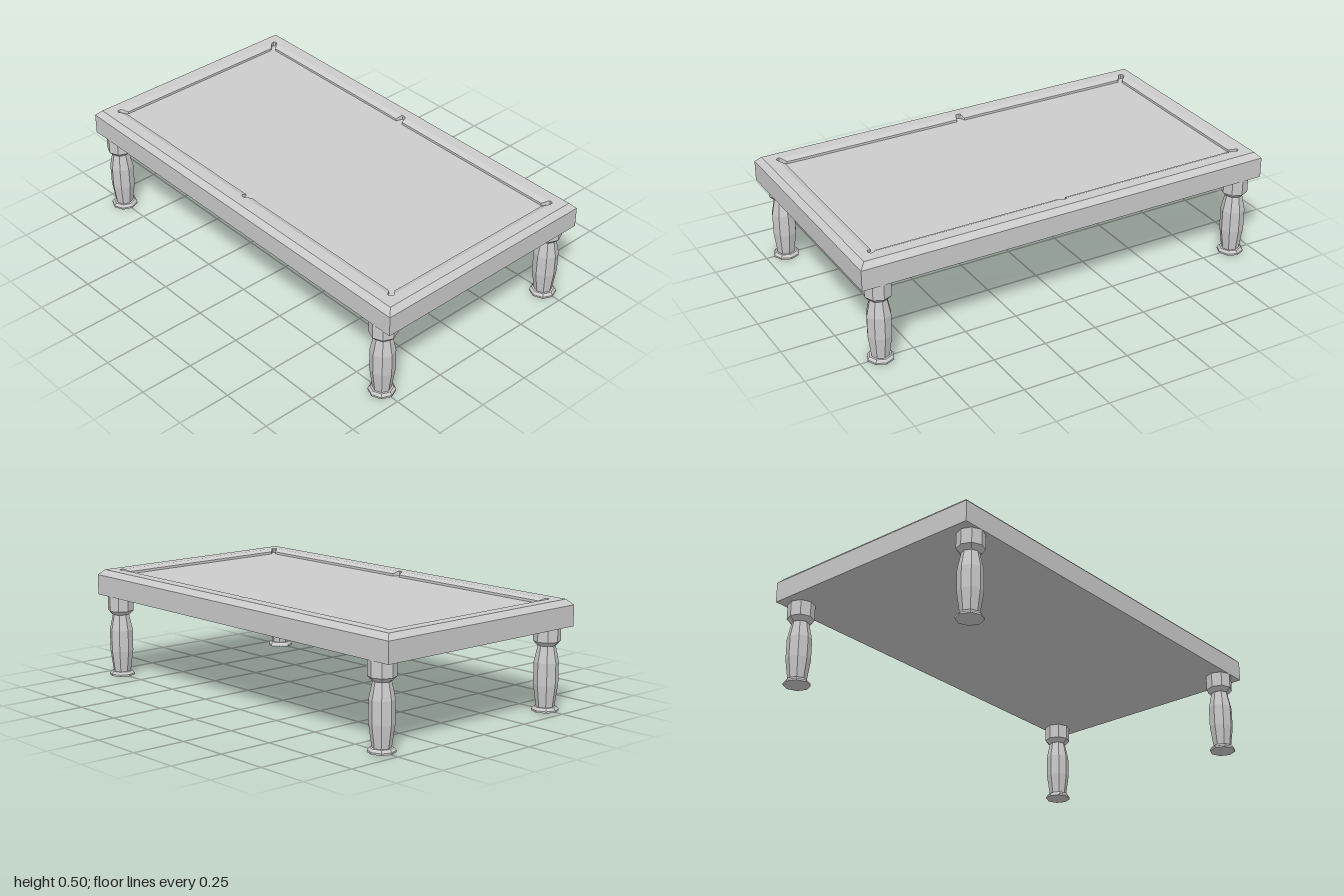
import * as THREE from 'three';

const material = new THREE.MeshStandardMaterial({ color: 0xcccccc, flatShading: true });

function addMesh(group, name, geometry) {
  const mesh = new THREE.Mesh(geometry, material);
  mesh.name = name;
  group.add(mesh);
  return mesh;
}

// Mirror one quarter of an outline (+x, +z) into a full closed loop
function fullLoop(quarter) {
  const back = [...quarter].reverse();
  return [
    ...quarter,
    ...back.map(([x, z]) => [x, -z]),
    ...quarter.map(([x, z]) => [-x, -z]),
    ...back.map(([x, z]) => [-x, z]),
  ];
}

// Join successive horizontal rings { loop, y } with quads
function skin(rings) {
  const pos = [];
  for (let r = 0; r < rings.length - 1; r++) {
    const a = rings[r], b = rings[r + 1], n = a.loop.length;
    const point = (ring, i) => [ring.loop[i % n][0], ring.y, ring.loop[i % n][1]];
    for (let i = 0; i < n; i++) {
      pos.push(...point(a, i), ...point(a, i + 1), ...point(b, i + 1));
      pos.push(...point(a, i), ...point(b, i + 1), ...point(b, i));
    }
  }
  const geometry = new THREE.BufferGeometry();
  geometry.setAttribute('position', new THREE.Float32BufferAttribute(pos, 3));
  geometry.computeVertexNormals();
  return geometry;
}

// Flat upward-facing sheet with an optional hole
function sheet(loop, y, hole) {
  const toPoints = (l) => l.map(([x, z]) => new THREE.Vector2(x, -z));
  const shape = new THREE.Shape(toPoints(loop));
  if (hole) shape.holes.push(new THREE.Path(toPoints(hole)));
  return new THREE.ShapeGeometry(shape).rotateX(-Math.PI / 2).translate(0, y, 0);
}

export function createModel() {
  const model = new THREE.Group();
  model.name = 'poolTable';

  const bottomY = 0.385, sideY = 0.48, topY = 0.505, noseY = 0.494, bedY = 0.483;
  const outer = fullLoop([[1, 0.557]]);
  const rim = fullLoop([[0.975, 0.532]]);

  // Notches for the middle and corner pockets, shared by both cushion outlines
  const middle = [[0.007, 0.484], [0.012, 0.479]];
  const corner = [[0.91, 0.484], [0.92, 0.483], [0.926, 0.477], [0.927, 0.467]];
  const cushionTop = fullLoop([...middle, [0.014, 0.478], [0.905, 0.478], ...corner, [0.925, 0.46]]);
  const cushionNose = fullLoop([...middle, [0.02, 0.453], [0.885, 0.453], ...corner, [0.9, 0.438]]);

  // Chamfered frame
  addMesh(model, 'frameSides', skin([
    { loop: outer, y: bottomY }, { loop: outer, y: sideY }, { loop: rim, y: topY },
  ]));
  addMesh(model, 'railTop', sheet(rim, topY, cushionTop));
  const underside = new THREE.PlaneGeometry(2, 1.114).rotateX(Math.PI / 2).translate(0, bottomY, 0);
  addMesh(model, 'underside', underside);

  // Sloping cushions around the recessed playing bed
  addMesh(model, 'cushions', skin([
    { loop: cushionTop, y: topY }, { loop: cushionNose, y: noseY }, { loop: cushionNose, y: bedY },
  ]));
  addMesh(model, 'bed', sheet(cushionNose, bedY));

  // Turned eight-sided legs
  const profile = [
    [0, 0], [0.06, 0], [0.06, 0.008], [0.05, 0.02], [0.041, 0.02], [0.055, 0.12],
    [0.055, 0.22], [0.039, 0.295], [0.044, 0.297], [0.061, 0.315], [0.061, bottomY],
  ].map(([r, y]) => new THREE.Vector2(r, y));
  const legGeometry = new THREE.LatheGeometry(profile, 8);
  for (const [side, x] of [['Left', 0.903], ['Right', -0.903]]) {
    for (const [end, z] of [['front', 0.497], ['back', -0.497]]) {
      addMesh(model, `${end}${side}Leg`, legGeometry).position.set(x, 0, z);
    }
  }
  return model;
}
